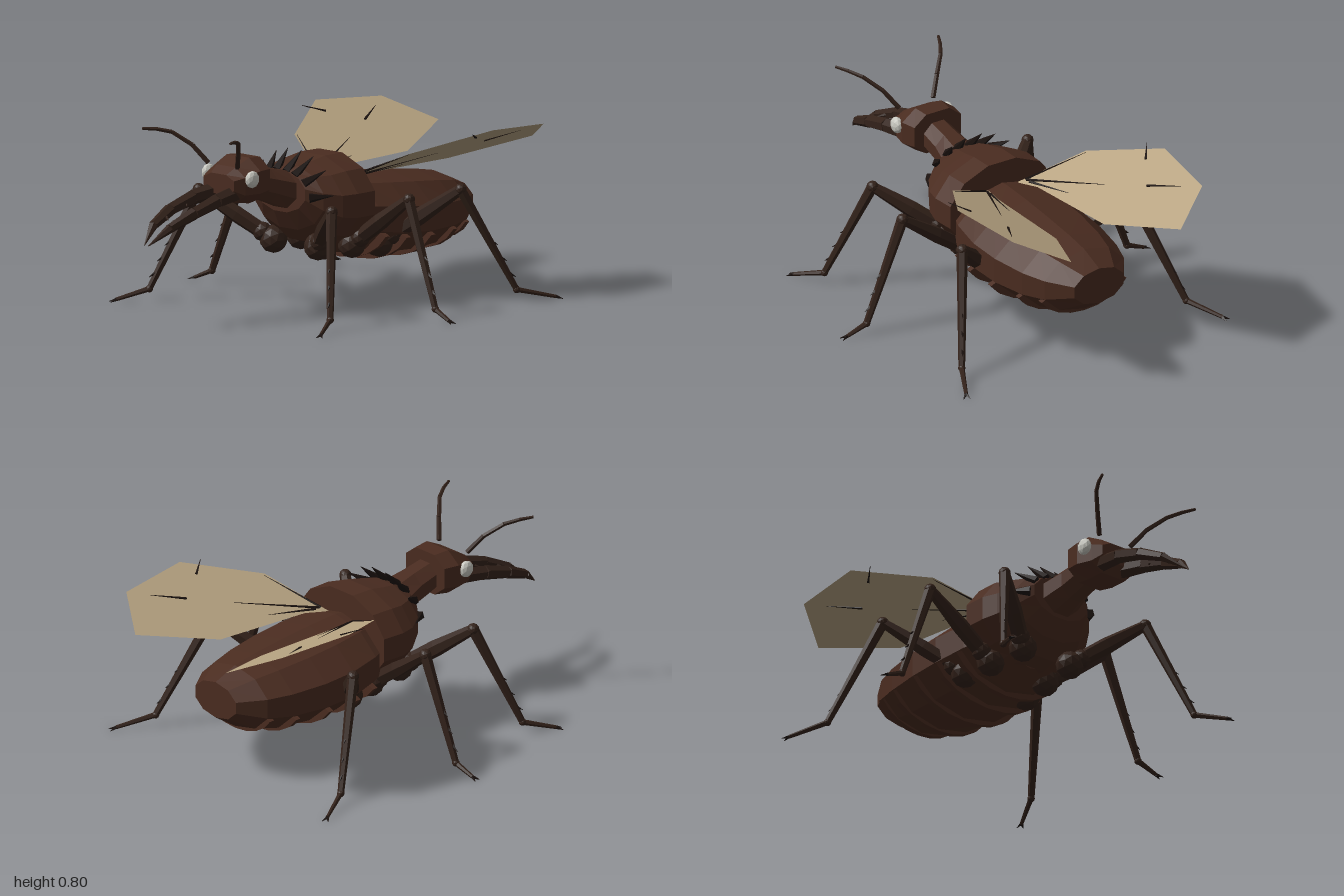
import * as THREE from 'three';
import { mergeGeometries } from 'three/addons/utils/BufferGeometryUtils.js';

const mat = (color, side = THREE.FrontSide) =>
  new THREE.MeshStandardMaterial({ color, flatShading: true, side });
const shell = mat(0x4a2c20);
const dark = mat(0x33221a);
const spineMat = mat(0x1c1310);
const eyeMat = mat(0xc8c8c0);
const wingMat = mat(0xb8a482, THREE.DoubleSide);
const V = (p) => new THREE.Vector3(...p);

// Closed body from rings [z, halfWidth, bottom, top], z ascending; power < 1 squares the section
function loft(rings, sides, power = 1, turn = 0.5) {
  const pos = [], idx = [];
  const bend = (v) => Math.sign(v) * Math.abs(v) ** power;
  for (const [z, w, lo, hi] of rings) {
    for (let j = 0; j < sides; j++) {
      const a = ((j + turn) / sides) * Math.PI * 2;
      pos.push(w * bend(Math.cos(a)), (lo + hi) / 2 + ((hi - lo) / 2) * bend(Math.sin(a)), z);
    }
  }
  for (let i = 0; i < rings.length - 1; i++) {
    for (let j = 0; j < sides; j++) {
      const a = i * sides + j, b = i * sides + ((j + 1) % sides);
      idx.push(a, b, b + sides, a, b + sides, a + sides);
    }
  }
  const last = (rings.length - 1) * sides;
  for (let j = 1; j < sides - 1; j++) {
    idx.push(0, j + 1, j, last, last + j, last + j + 1);
  }
  const g = new THREE.BufferGeometry();
  g.setAttribute('position', new THREE.Float32BufferAttribute(pos, 3));
  g.setIndex(idx);
  g.computeVertexNormals();
  return g;
}

// Tapered rod between two points
function rod(a, b, r0, r1, sides = 6) {
  const p = V(a), q = V(b), d = q.clone().sub(p);
  const g = new THREE.CylinderGeometry(r1, r0, d.length(), sides);
  g.applyQuaternion(new THREE.Quaternion().setFromUnitVectors(V([0, 1, 0]), d.normalize()));
  return g.translate(...p.add(q).multiplyScalar(0.5).toArray());
}

// Chain of rods along a path with one radius per point
function chain(points, radii, sides = 6) {
  return mergeGeometries(points.slice(1).map((p, i) =>
    rod(points[i], p, radii[i], radii[i + 1], sides)));
}

const ball = (p, r) => new THREE.IcosahedronGeometry(r, 1).translate(...p);
const mix = (a, b, t) => a.map((v, i) => v + (b[i] - v) * t);

// Abdomen rings, also followed by the belly plates
const abdomenRings = [
  [-0.8, 0.13, 0.27, 0.43], [-0.69, 0.21, 0.2, 0.475], [-0.58, 0.25, 0.175, 0.495],
  [-0.42, 0.28, 0.165, 0.515], [-0.27, 0.285, 0.17, 0.53], [-0.12, 0.26, 0.2, 0.54],
  [0.02, 0.2, 0.25, 0.53],
];

// Crescent plate wrapped round the underside at ring [z, halfWidth, bottom, top]
function bellyPlate([z, w, lo, hi], depth) {
  const cy = (lo + hi) / 2, h = (hi - lo) / 2, n = 8;
  const shape = new THREE.Shape();
  for (let k = 0; k <= n; k++) {
    const a = Math.PI * (1.12 + (0.76 * k) / n);
    shape[k ? 'lineTo' : 'moveTo'](w * 1.09 * Math.cos(a), cy + h * 1.06 * Math.sin(a));
  }
  for (let k = n; k >= 0; k--) {
    const a = Math.PI * (1.1 + (0.8 * k) / n);
    shape.lineTo(w * 0.9 * Math.cos(a), cy + h * 0.9 * Math.sin(a));
  }
  return new THREE.ExtrudeGeometry(shape, { depth, bevelEnabled: false }).translate(0, 0, z);
}

// Leg joints for the +x side: coxa, knee, ankle, toe
const legs = [
  ['front', [0.13, 0.27, 0.12], [0.39, 0.47, 0.3], [0.53, 0.05, 0.45], [0.6, 0.012, 0.575]],
  ['middle', [0.15, 0.26, -0.06], [0.485, 0.49, -0.06], [0.655, 0.05, -0.045], [0.745, 0.012, -0.035]],
  ['hind', [0.17, 0.25, -0.2], [0.43, 0.48, -0.42], [0.565, 0.05, -0.615], [0.645, 0.012, -0.765]],
];

// Wing outline and a rule giving its height, rising away from the body
const wingY = (x) => 0.535 + (x - 0.1) * 0.46;
const wingOutline = [[0.07, -0.09], [0.335, -0.21], [0.52, -0.52], [0.475, -0.865],
  [0.275, -1], [0.12, -0.66], [0.1, -0.2]];
const veins = [[0.1, -0.11, 0.33, -0.22], [0.1, -0.12, 0.26, -0.46], [0.1, -0.14, 0.15, -0.36],
  [0.35, -0.64, 0.425, -0.78], [0.44, -0.5, 0.5, -0.42]];

export function createModel() {
  const model = new THREE.Group();
  const add = (name, geo, material, parent = model) => {
    const m = new THREE.Mesh(geo, material);
    m.name = name;
    parent.add(m);
    return m;
  };

  // Body
  add('abdomen', loft(abdomenRings, 10), shell);
  add('thorax', loft([[-0.085, 0.27, 0.25, 0.64], [0.02, 0.275, 0.25, 0.64],
    [0.09, 0.255, 0.27, 0.625], [0.16, 0.21, 0.33, 0.61], [0.21, 0.15, 0.41, 0.59]], 12), shell);
  add('neck', loft([[0.1, 0.13, 0.33, 0.58], [0.2, 0.105, 0.42, 0.595],
    [0.3, 0.08, 0.46, 0.615], [0.42, 0.075, 0.5, 0.64]], 8), shell);
  add('head', loft([[0.39, 0.125, 0.49, 0.68], [0.46, 0.14, 0.48, 0.685],
    [0.53, 0.12, 0.49, 0.65], [0.575, 0.095, 0.53, 0.62]], 8, 0.8), shell);
  for (const i of [1, 2, 3, 4]) add('bellyPlate', bellyPlate(abdomenRings[i], 0.025), shell);
  add('bellyPlate', bellyPlate([-0.16, 0.27, 0.19, 0.535], 0.025), shell);

  // Spines round the front rim of the thorax, leaning up and back
  const spines = [];
  for (const deg of [5, 38, 62, 80, 100, 118, 142, 175]) {
    const a = (deg * Math.PI) / 180, c = Math.cos(a), s = Math.sin(a);
    spines.push(rod([c * 0.165, 0.48 + s * 0.105, 0.205], [c * 0.23, 0.48 + s * 0.19, 0.125], 0.022, 0.001, 5));
  }
  add('thoraxSpines', mergeGeometries(spines), spineMat);

  for (const s of [1, -1]) {
    const side = s > 0 ? 'left' : 'right';
    const X = ([x, y, z]) => [s * x, y, z];

    // Head parts
    const eye = add(side + 'Eye', new THREE.IcosahedronGeometry(0.035, 1), eyeMat);
    eye.scale.set(0.65, 1.05, 1);
    eye.position.set(s * 0.128, 0.6, 0.505);
    add(side + 'Mandible', mergeGeometries([
      chain([[0.055, 0.535, 0.54], [0.07, 0.52, 0.66], [0.07, 0.485, 0.79], [0.05, 0.435, 0.91],
        [0.012, 0.367, 1]].map(X), [0.036, 0.032, 0.027, 0.02, 0.002]),
      rod(X([0.06, 0.47, 0.83]), X([0.012, 0.455, 0.86]), 0.012, 0.001, 5),
      rod(X([0.065, 0.505, 0.7]), X([0.03, 0.495, 0.73]), 0.012, 0.001, 5),
    ]), dark);
    add(side + 'Antenna', chain([[0.085, 0.65, 0.55], [0.135, 0.725, 0.595], [0.195, 0.78, 0.655],
      [0.23, 0.795, 0.71], [0.258, 0.8, 0.765]].map(X), [0.011, 0.01, 0.009, 0.008, 0.006], 5), dark);

    // Legs
    for (const [pair, coxa, knee, ankle, toe] of legs) {
      const leg = new THREE.Group();
      leg.name = `${side} ${pair} leg`;
      model.add(leg);
      const [c, k, a, t] = [coxa, knee, ankle, toe].map(X);
      const hip = mix(c, k, 0.15);
      add('hip', mergeGeometries([ball(c, 0.06), ball(hip, 0.042)]), dark, leg);
      add('thigh', chain([hip, mix(c, k, 0.5), k], [0.034, 0.036, 0.022]), dark, leg);
      add('knee', ball(k, 0.026), dark, leg);
      add('shin', rod(k, a, 0.024, 0.014), dark, leg);
      add('ankle', ball(a, 0.016), dark, leg);
      add('foot', rod(a, t, 0.012, 0.008), dark, leg);

      // Shin spurs and paired claws
      const out = V(t).sub(V(a)).setY(0).normalize();
      const across = new THREE.Vector3(-out.z, 0, out.x);
      const spurs = [0.5, 0.66, 0.82].map((f) => {
        const p = mix(k, a, f);
        const tip = V(p).addScaledVector(out, 0.04).add(V([0, -0.025, 0]));
        return rod(p, tip.toArray(), 0.011, 0.001, 4);
      });
      const claws = [1, -1].map((e) => {
        const tip = V(t).addScaledVector(out, 0.028).addScaledVector(across, e * 0.014);
        return rod(t, tip.setY(0.003).toArray(), 0.008, 0.001, 4);
      });
      add('spursAndClaws', mergeGeometries([...spurs, ...claws]), spineMat, leg);
    }

    // Wing blade: flat outline lifted by the height rule
    const blade = new THREE.ShapeGeometry(
      new THREE.Shape(wingOutline.map(([x, z]) => new THREE.Vector2(s * x, z))));
    const p = blade.attributes.position;
    for (let i = 0; i < p.count; i++) p.setXYZ(i, p.getX(i), wingY(Math.abs(p.getX(i))), p.getY(i));
    blade.computeVertexNormals();
    add(side + 'Wing', blade, wingMat);
    add(side + 'WingVeins', mergeGeometries(veins.map(([x0, z0, x1, z1]) =>
      rod([s * x0, wingY(x0), z0], [s * x1, wingY(x1), z1], 0.007, 0.001, 4))), spineMat);
  }
  return model;
}
